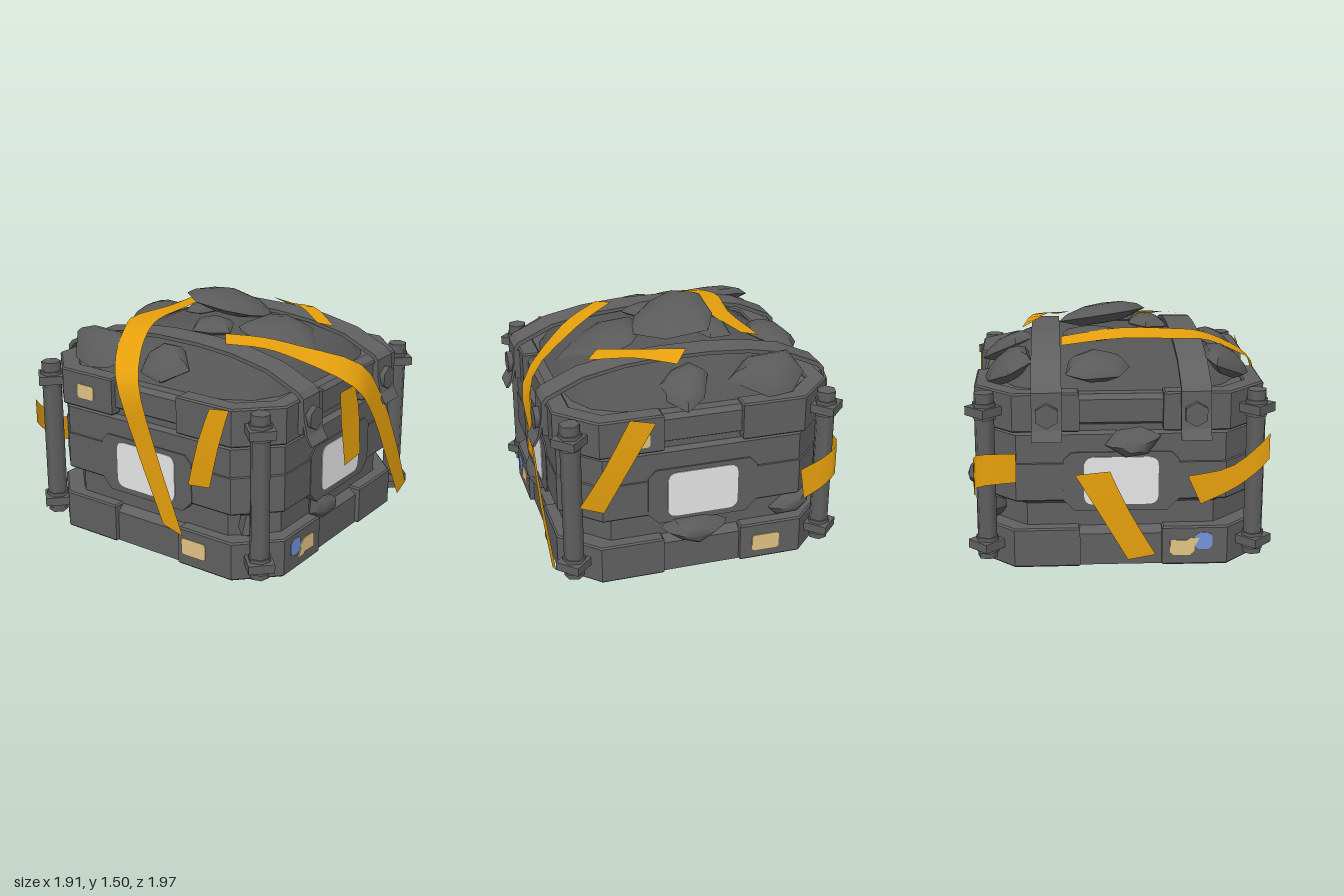
import * as THREE from 'three';
import { toCreasedNormals } from 'three/addons/utils/BufferGeometryUtils.js';

const mat = (name, color, extra = {}) => {
  const m = new THREE.MeshStandardMaterial({ color, ...extra });
  m.name = name;
  return m;
};
const M = {
  body: mat('crate grey', 0x606060),
  dark: mat('recess grey', 0x555555),
  rock: mat('rock grey', 0x5a5a5a),
  label: mat('label white', 0xe6e6e6),
  tape: mat('tape yellow', 0xe6a00c, { side: THREE.DoubleSide }),
  tan: mat('patch tan', 0xe2c382),
  blue: mat('patch blue', 0x7294da),
};

function add(parent, name, geo, material, x = 0, y = 0, z = 0) {
  const m = new THREE.Mesh(geo, material);
  m.name = name;
  m.position.set(x, y, z);
  parent.add(m);
  return m;
}

// Eight-sided outline: half-width r, half-length c of the straight sides
const oct = (r, c = r - 0.23) =>
  [[r, -c], [r, c], [c, r], [-c, r], [-r, c], [-r, -c], [-c, -r], [c, -r]];

// Rounded-square outline for the dome
const roundSquare = (r) => Array.from({ length: 32 }, (_, i) => {
  const a = (i / 32) * Math.PI * 2, s = Math.sin(a), c = Math.cos(a);
  const k = r / Math.pow(s ** 4 + c ** 4, 0.25);
  return [c * k, s * k];
});

// Skin between stacked outlines, bottom to top
function loft(rings) {
  const pos = [];
  for (let i = 0; i < rings.length - 1; i++) {
    const [y0, p] = rings[i], [y1, q] = rings[i + 1], n = p.length;
    for (let j = 0; j < n; j++) {
      const k = (j + 1) % n;
      const a = [p[j][0], y0, p[j][1]], b = [p[k][0], y0, p[k][1]];
      const c = [q[k][0], y1, q[k][1]], d = [q[j][0], y1, q[j][1]];
      pos.push(...a, ...d, ...b, ...b, ...d, ...c);
    }
  }
  const g = new THREE.BufferGeometry();
  g.setAttribute('position', new THREE.Float32BufferAttribute(pos, 3));
  g.computeVertexNormals();
  return g;
}

const polygon = (pts) => new THREE.Shape(pts.map(([x, y]) => new THREE.Vector2(x, y)));
const plate = (shape, depth = 0.006) => new THREE.ExtrudeGeometry(shape, { depth, bevelEnabled: false, curveSegments: 6 });

// Corner block following the chamfered outline
function cornerBlock(r, s, h) {
  const t = 0.01, c = r - 0.23;
  const g = new THREE.ExtrudeGeometry(
    polygon([[s, r], [s, r - 0.12], [c - 0.05, r - 0.12], [r - 0.12, c - 0.05], [r - 0.12, s], [r, s], [r, c], [c, r]].reverse()),
    { depth: h - 2 * t, bevelEnabled: true, bevelThickness: t, bevelSize: t, bevelOffset: -t, bevelSegments: 1 });
  return g.translate(0, 0, t).rotateX(-Math.PI / 2);
}

function roundedRect(w, h, r) {
  const s = new THREE.Shape(), x = w / 2, y = h / 2;
  s.moveTo(-x + r, -y);
  s.lineTo(x - r, -y).quadraticCurveTo(x, -y, x, -y + r);
  s.lineTo(x, y - r).quadraticCurveTo(x, y, x - r, y);
  s.lineTo(-x + r, y).quadraticCurveTo(-x, y, -x, y - r);
  s.lineTo(-x, -y + r).quadraticCurveTo(-x, -y, -x + r, -y);
  return s;
}

// Domed stone over a flat outline, thickness h, tilted by slopes ax and az
function rock(parent, pts, y, h, ax = 0, az = 0) {
  const cx = pts.reduce((s, p) => s + p[0], 0) / pts.length, cz = pts.reduce((s, p) => s + p[1], 0) / pts.length;
  const ring = (k) => pts.map(([x, z]) => [(x - cx) * k, (z - cz) * k]);
  const g = loft([[-0.8, 0], [-0.7, 0.5], [0, 1], [0.5, 0.82], [0.9, 0.45], [1, 0]].map(([v, k]) => [v * h, ring(k)]));
  const p = g.attributes.position;
  for (let i = 0; i < p.count; i++) p.setY(i, p.getY(i) + ax * p.getX(i) + az * p.getZ(i));
  add(parent, 'rock', toCreasedNormals(g, 0.7), M.rock, cx, y, cz);
}

// Stone lodged in a side wall, outline given as [x, y]
function wallRock(side, pts, base, h, slope = 0) {
  const wall = new THREE.Group();
  wall.name = 'wallRock';
  wall.rotation.x = Math.PI / 2;
  side.add(wall);
  rock(wall, pts.map(([x, y]) => [x, -y]), base, h, 0, slope);
}

// Ribbon between two edges, each smoothed through its points
function tape(parent, left, right, steps = 12) {
  const curve = (pts) => new THREE.CatmullRomCurve3(pts.map((p) => new THREE.Vector3(...p)), false, 'centripetal');
  const L = curve(left), R = curve(right), pos = [], idx = [];
  for (let i = 0; i <= steps; i++) {
    pos.push(...L.getPoint(i / steps).toArray(), ...R.getPoint(i / steps).toArray());
    if (i < steps) idx.push(2 * i, 2 * i + 1, 2 * i + 2, 2 * i + 1, 2 * i + 3, 2 * i + 2);
  }
  const g = new THREE.BufferGeometry();
  g.setAttribute('position', new THREE.Float32BufferAttribute(pos, 3));
  g.setIndex(idx);
  g.computeVertexNormals();
  add(parent, 'tape', g, M.tape);
}

export function createModel() {
  const model = new THREE.Group();
  model.name = 'rockCrate';
  const crate = new THREE.Group();
  crate.name = 'crate';
  crate.position.set(-0.03, 0, 0.015);
  model.add(crate);

  // Chamfered core with recessed bands and an inner ledge
  add(crate, 'core', loft([
    [0, oct(0, 0)], [0, oct(0.85)], [0.2, oct(0.85)], [0.24, oct(0.8)], [0.39, oct(0.8)],
    [0.43, oct(0.84)], [0.66, oct(0.84)], [0.665, oct(0.86)], [0.84, oct(0.86)], [0.85, oct(0.81)], [0.89, oct(0.81)],
    [0.91, oct(0.845)], [1.05, oct(0.845)], [1.08, oct(0.82)], [1.08, oct(0.6)],
  ]), M.body);

  // Dome filling the top
  add(crate, 'dome', toCreasedNormals(loft([
    [1.06, 0.78], [1.09, 0.74], [1.15, 0.71], [1.215, 0.61], [1.265, 0.47], [1.3, 0.28], [1.315, 0.12], [1.318, 0],
  ].map(([y, r]) => [y, roundSquare(r)])), 0.9), M.dark);

  // Each side: corner blocks, centre panel, label, lodged rocks and patches
  const patches = [
    [[-0.41, 0.12, true]],
    [[0.42, 0.115], [-0.405, 0.95]],
    [[0.39, 0.12, true]],
    [[0.37, 0.13], [-0.46, 0.975]],
  ];
  const wallRocks = [
    [[[[-0.29, 0.27], [-0.28, 0.36], [-0.2, 0.385], [-0.01, 0.29], [-0.01, 0.22], [-0.22, 0.21]], 0.83, 0.08],
      [[[-0.84, 0.3], [-0.79, 0.42], [-0.68, 0.42], [-0.64, 0.38], [-0.68, 0.31], [-0.77, 0.27]], 0.7, 0.09]],
    [[[[-0.265, 0.31], [-0.2, 0.38], [0.03, 0.38], [0.165, 0.31], [0.06, 0.24], [-0.035, 0.19], [-0.17, 0.24]], 0.845, 0.14],
      [[[0.445, 0.31], [0.55, 0.4], [0.72, 0.41], [0.745, 0.33], [0.66, 0.25], [0.5, 0.25]], 0.77, 0.1]],
    [[[[-0.1, 0.78], [-0.03, 0.86], [0.12, 0.88], [0.24, 0.83], [0.16, 0.73], [0.02, 0.71]], 0.875, 0.11, 0.4]],
    [],
  ];
  const torn = polygon([[-0.09, -0.055], [-0.03, -0.055], [-0.01, -0.04], [0.09, -0.045], [0.09, 0.035], [0.07, 0.055], [-0.03, 0.055], [-0.06, 0.03], [-0.06, 0]]);
  [0, Math.PI / 2, Math.PI, -Math.PI / 2].forEach((angle, k) => {
    const side = new THREE.Group();
    side.name = 'side';
    side.rotation.y = angle;
    crate.add(side);
    for (const [name, r, s, y, h] of [['baseCorner', 0.88, 0.25, 0, 0.25], ['middleCorner', 0.865, 0.33, 0.42, 0.25], ['rimCorner', 0.88, 0.25, 0.86, 0.24]])
      add(side, name, cornerBlock(r, s, h), M.body, 0, y, 0);
    const panel = polygon([[-0.35, 0.43], [-0.28, 0.36], [0.28, 0.36], [0.35, 0.43], [0.35, 0.68], [0.3, 0.73], [-0.3, 0.73], [-0.35, 0.68]]);
    add(side, 'centrePanel', plate(panel, 0.08), M.body, 0, 0, 0.79);
    add(side, 'label', plate(roundedRect(0.45, 0.3, 0.06)), M.label, 0, 0.55, 0.869);
    wallRocks[k].forEach((r) => wallRock(side, ...r));
    for (const [x, y, splash] of patches[k]) {
      const plain = y > 0.5 ? roundedRect(0.13, 0.09, 0.02) : roundedRect(0.18, 0.11, 0.02);
      const patch = add(side, 'patch', plate(splash ? torn : plain), M.tan, x, y, 0.88);
      if (!splash) continue;
      const dir = Math.sign(x);
      patch.rotation.z = dir > 0 ? Math.PI : 0;
      add(side, 'splash', plate(roundedRect(0.11, 0.11, 0.045)), M.blue, x + dir * 0.115, y + 0.035, 0.878);
    }
  });

  // Corner posts with brackets and nuts
  for (const sx of [-1, 1]) for (const sz of [-1, 1]) {
    const post = new THREE.Group();
    post.name = 'cornerPost';
    post.position.set(sx * 0.815, 0, sz * 0.81);
    post.rotation.y = sx * sz * Math.PI / 4;
    crate.add(post);
    add(post, 'rod', new THREE.CylinderGeometry(0.062, 0.062, 1.04, 6).toNonIndexed(), M.body, 0, 0.575, 0);
    for (const y of [0.14, 0.985]) {
      add(post, 'bracket', new THREE.BoxGeometry(0.16, 0.055, 0.165), M.body, 0, y, 0);
      add(post, 'nut', new THREE.CylinderGeometry(0.072, 0.072, 0.1, 6), M.body, 0, y, 0);
    }
  }

  // Straps over the dome, bolted at front and back
  const half = [[0.965, 0.83], [0.93, 0.89], [0.905, 1.0], [0.9, 1.09], [0.87, 1.125], [0.65, 1.225], [0.4, 1.275], [0.15, 1.295]];
  const inner = [...half, ...half.map(([z, y]) => [-z, y]).reverse()];
  const outer = inner.map(([z, y]) => [z * 1.018, y < 1.08 ? y : y + 0.023]).reverse();
  const strapGeo = plate(polygon([...inner, ...outer]), 0.18).translate(0, 0, -0.09).rotateY(-Math.PI / 2);
  for (const x of [-0.44, 0.445]) {
    add(crate, 'strap', strapGeo, M.body, x, 0, 0);
    for (const s of [-1, 1]) {
      add(crate, 'strapPlate', new THREE.BoxGeometry(0.17, 0.2, 0.06), M.body, x, 0.99, s * 0.885);
      add(crate, 'bolt', new THREE.CylinderGeometry(0.075, 0.075, 0.05, 6).rotateX(Math.PI / 2), M.body, x, 0.98, s * 0.93);
    }
  }

  // Rocks on the dome
  rock(model, [[-0.22, -0.1], [-0.1, -0.26], [0.16, -0.26], [0.33, -0.18], [0.3, 0.09], [0.13, 0.27], [-0.05, 0.2], [-0.16, 0.08]], 1.4, 0.075, -0.15, -0.18);
  rock(model, [[-0.29, 0.38], [-0.14, 0.18], [0.13, 0.22], [0.24, 0.3], [0.26, 0.5], [-0.02, 0.73], [-0.23, 0.55]], 1.255, 0.09, 0.08, -0.33);
  rock(model, [[-0.09, -0.68], [-0.02, -0.8], [0.19, -0.83], [0.3, -0.77], [0.28, -0.61], [0.14, -0.5], [-0.05, -0.58]], 1.21, 0.08, 0, 0.25);
  rock(model, [[0.5, -0.66], [0.64, -0.7], [0.77, -0.58], [0.79, -0.42], [0.64, -0.2], [0.52, -0.34]], 1.17, 0.1, -0.5);
  rock(model, [[0.5, 0], [0.61, -0.08], [0.77, -0.01], [0.83, 0.11], [0.61, 0.27], [0.52, 0.14]], 1.17, 0.09, -0.4, -0.25);
  rock(model, [[-0.84, -0.47], [-0.79, -0.63], [-0.6, -0.78], [-0.55, -0.68], [-0.56, -0.39], [-0.68, -0.2], [-0.81, -0.34]], 1.19, 0.09, 0.5);
  rock(model, [[-0.83, 0.08], [-0.79, -0.1], [-0.68, -0.14], [-0.57, -0.08], [-0.57, 0.08], [-0.7, 0.21]], 1.19, 0.09, 0.5);
  rock(model, [[-0.37, -0.02], [-0.23, -0.09], [-0.12, 0], [-0.14, 0.14], [-0.29, 0.22], [-0.35, 0.11]], 1.325, 0.06, 0.08);
  rock(model, [[-0.06, -0.31], [0.08, -0.37], [0.3, -0.34], [0.31, -0.2], [0.14, -0.13], [-0.05, -0.2]], 1.32, 0.05);

  // Long front tape and the short strip behind it
  tape(model,
    [[-0.51, 1.33, 0.34], [-0.37, 1.3, 0.53], [-0.26, 1.235, 0.68], [0.0, 1.03, 0.95], [0.25, 0.75, 0.96], [0.45, 0.4, 0.96], [0.67, 0.06, 0.94]],
    [[-0.4, 1.355, 0.26], [-0.25, 1.325, 0.45], [-0.12, 1.27, 0.62], [0.15, 1.13, 0.91], [0.34, 0.87, 0.965], [0.56, 0.5, 0.965], [0.78, 0.11, 0.94]], 18);
  tape(model, [[-0.11, 1.02, 0.915], [-0.09, 0.8, 0.92], [-0.05, 0.52, 0.93]], [[0.07, 1.02, 0.915], [0.12, 0.85, 0.92], [0.14, 0.54, 0.93]], 5);
  // Strip across the back of the dome and down one side
  tape(model,
    [[0.32, 1.31, -0.52], [-0.05, 1.335, -0.45], [-0.4, 1.335, -0.48], [-0.58, 1.31, -0.4], [-0.75, 1.23, -0.32], [-0.915, 1.1, -0.19], [-0.93, 0.75, -0.05], [-0.92, 0.24, 0.16]],
    [[0.32, 1.34, -0.4], [-0.05, 1.365, -0.28], [-0.38, 1.355, -0.27], [-0.55, 1.33, -0.22], [-0.73, 1.25, -0.14], [-0.915, 1.1, -0.01], [-0.93, 0.75, 0.11], [-0.92, 0.2, 0.31]], 20);
  // Short strip on the dome
  tape(model, [[0.49, 1.35, 0.02], [0.4, 1.345, 0.3], [0.25, 1.31, 0.52]], [[0.57, 1.29, 0.1], [0.5, 1.33, 0.34], [0.33, 1.28, 0.6]], 6);
  // Strips on the side and back faces
  tape(model, [[0.86, 1.1, 0.48], [0.875, 0.8, 0.65], [0.87, 0.57, 0.8]], [[0.86, 1.06, 0.32], [0.875, 0.77, 0.5], [0.87, 0.51, 0.65]], 4);
  tape(model, [[-0.925, 1.1, 0.66], [-0.935, 0.85, 0.59], [-0.925, 0.58, 0.52]], [[-0.925, 1.08, 0.52], [-0.935, 0.85, 0.44], [-0.925, 0.56, 0.36]], 4);
  tape(model, [[0.25, 0.6, -0.89], [0.09, 0.33, -0.895], [-0.07, 0.05, -0.89]], [[0.04, 0.62, -0.89], [-0.07, 0.38, -0.895], [-0.24, 0.08, -0.89]], 4);
  // Strips wrapping the two rear posts
  tape(model, [[0.86, 0.6, -0.62], [0.86, 0.67, -0.78], [0.825, 0.73, -0.875], [0.6, 0.74, -0.89]],
    [[0.86, 0.39, -0.65], [0.86, 0.46, -0.78], [0.825, 0.53, -0.875], [0.6, 0.56, -0.89]], 8);
  tape(model, [[-0.43, 0.58, -0.88], [-0.68, 0.64, -0.9], [-0.85, 0.77, -0.895], [-0.92, 0.84, -0.875]],
    [[-0.51, 0.4, -0.88], [-0.7, 0.5, -0.9], [-0.85, 0.61, -0.895], [-0.92, 0.68, -0.875]], 8);

  return model;
}
